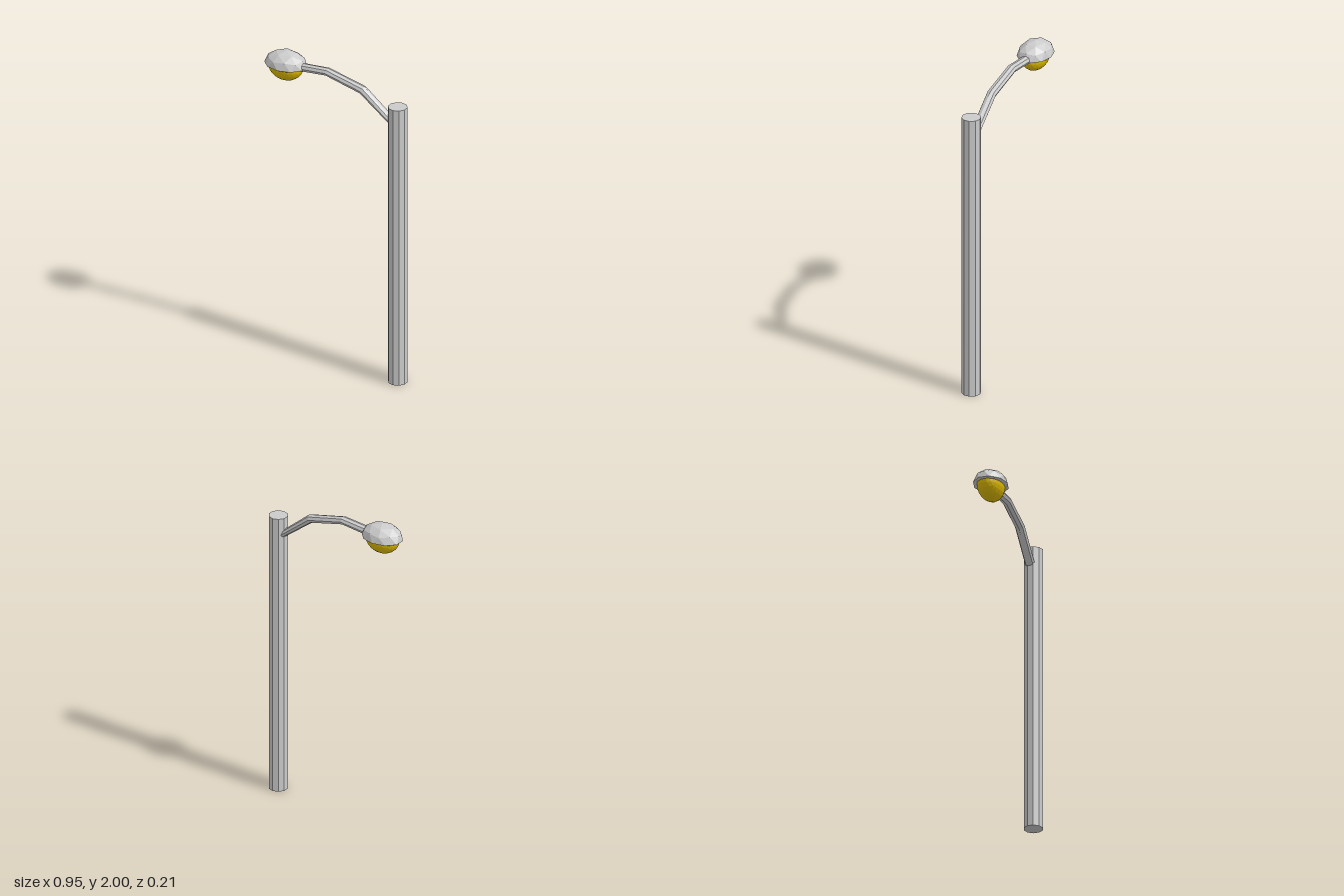
import * as THREE from 'three';

const grey = new THREE.MeshStandardMaterial({ color: 0xcccccc, flatShading: true });
const yellow = new THREE.MeshStandardMaterial({ color: 0xe0bc00, flatShading: true });

const HEAD = new THREE.Vector3(-0.345, 1.91, 0);

function addMesh(group, name, geometry, material) {
  geometry.computeVertexNormals();
  const mesh = new THREE.Mesh(geometry, material);
  mesh.name = name;
  group.add(mesh);
  return mesh;
}

// Faceted ball with a corner at its top, flattened outside a range of heights
function cutBall(detail, minY, maxY, scale) {
  const geometry = new THREE.IcosahedronGeometry(1, detail);
  geometry.rotateX(-Math.atan((1 + Math.sqrt(5)) / 2));
  geometry.rotateY(-Math.PI / 2);
  const p = geometry.attributes.position;
  for (let i = 0; i < p.count; i++) {
    p.setY(i, THREE.MathUtils.clamp(p.getY(i), minY, maxY));
  }
  return geometry.scale(...scale);
}

// Eight-sided arm: each row of a cylinder is moved to a station of the bent path
function armGeometry() {
  // x, y, z, half thickness
  const stations = [
    [-0.28, 1.912, 0, 0.025],
    [-0.22, 1.919, 0, 0.025],
    [-0.06, 1.932, 0.001, 0.024],
    [0.18, 1.871, -0.001, 0.026],
    [0.41, 1.685, -0.006, 0.019],
  ];
  const last = stations.length - 1;
  const geometry = new THREE.CylinderGeometry(1, 1, 1, 8, last);
  const p = geometry.attributes.position;
  for (let i = 0; i < p.count; i++) {
    const row = Math.round((p.getY(i) + 0.5) * last);
    const [x, y, z, r] = stations[row];
    const a = stations[Math.max(row - 1, 0)];
    const b = stations[Math.min(row + 1, last)];
    const angle = Math.atan2(b[1] - a[1], b[0] - a[0]);
    const up = -p.getX(i) * r;
    p.setXYZ(i, x - Math.sin(angle) * up, y + Math.cos(angle) * up, z + p.getZ(i) * 0.03);
  }
  return geometry;
}

export function createModel() {
  const group = new THREE.Group();
  group.name = 'streetLamp';

  // Upright post
  const post = addMesh(group, 'post', new THREE.CylinderGeometry(0.059, 0.059, 1.82, 10), grey);
  post.position.set(0.42, 0.91, 0);

  // Bent arm from the post to the lamp
  addMesh(group, 'arm', armGeometry(), grey);

  // Domed hood over the lamp
  const hood = addMesh(group, 'hood', cutBall(1, -0.06, 1, [0.135, 0.09, 0.104]), grey);
  hood.position.copy(HEAD);

  // Lamp glass hanging below the hood
  const glass = addMesh(group, 'lampGlass', cutBall(3, -1, 0.1, [0.115, 0.1, 0.08]), yellow);
  glass.position.copy(HEAD);

  return group;
}
